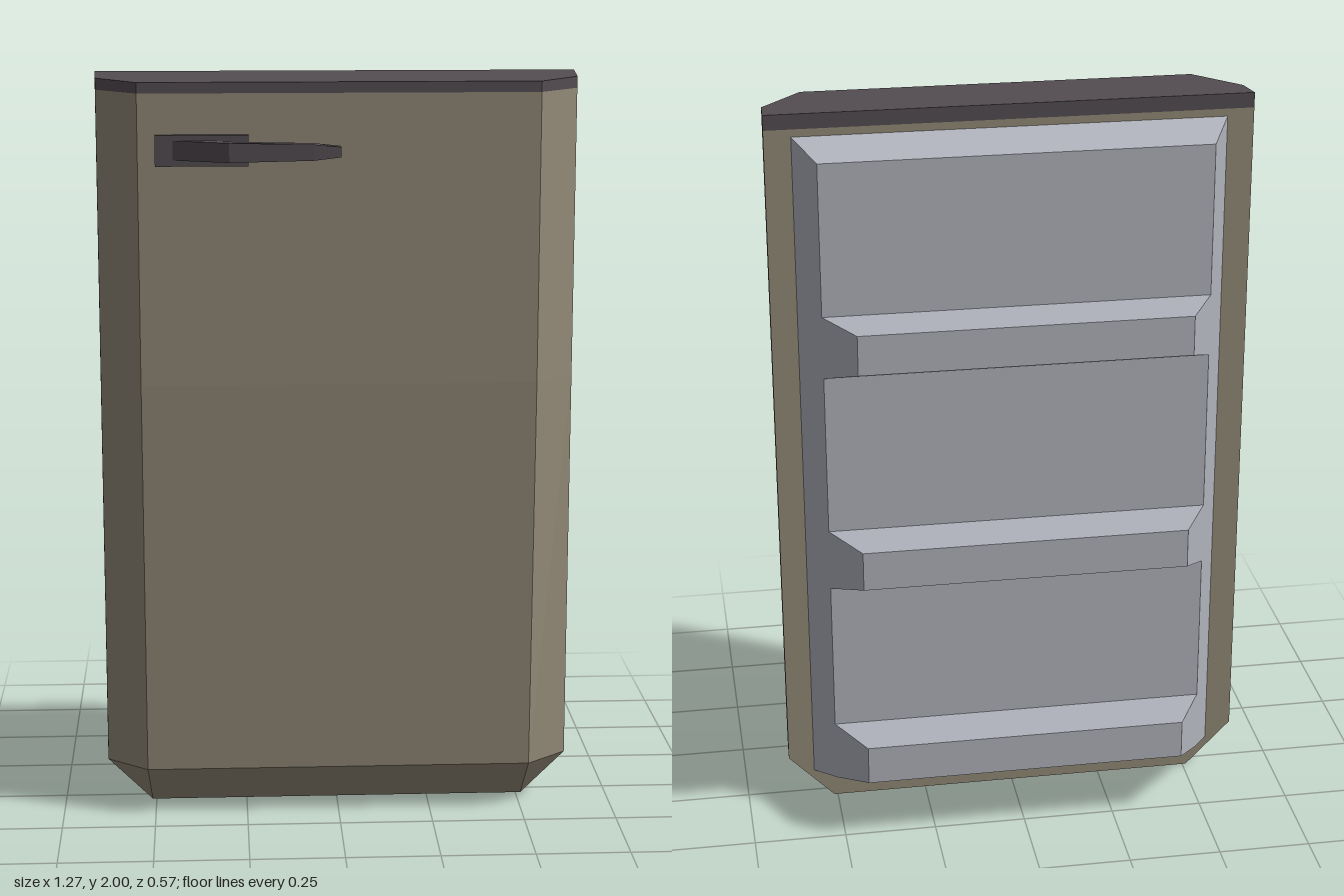
import * as THREE from 'three';

const mat = (name, color) => {
  const m = new THREE.MeshStandardMaterial({ color, flatShading: true });
  m.name = name;
  return m;
};

// Cross-section with chamfered front corners, running left back > front > right back.
// Each of back, mid and front is [half width, y, z].
const section = (back, mid, front) => {
  const left = [back, mid, front].map(([x, y, z]) => new THREE.Vector3(-x, y, z));
  const right = [front, mid, back].map(([x, y, z]) => new THREE.Vector3(x, y, z));
  return [...left, ...right];
};

// Closed solid through a stack of sections, listed from bottom to top.
function loft(rings) {
  const out = [];
  const tri = (a, b, c) => {
    if (new THREE.Triangle(a, b, c).getArea() > 1e-7) out.push(a, b, c);
  };
  const quad = (a, b, c, d) => { tri(a, b, c); tri(a, c, d); };
  for (let r = 0; r < rings.length - 1; r++) {
    const lo = rings[r], hi = rings[r + 1];
    for (let i = 0; i < 6; i++) {
      const j = (i + 1) % 6;
      quad(lo[i], lo[j], hi[j], hi[i]);
    }
  }
  const t = rings[rings.length - 1], b = rings[0];
  for (const i of [0, 1]) {
    quad(t[i], t[i + 1], t[4 - i], t[5 - i]);
    quad(b[5 - i], b[4 - i], b[i + 1], b[i]);
  }
  const g = new THREE.BufferGeometry().setFromPoints(out);
  g.computeVertexNormals();
  return g;
}

// Applies a rule to every vertex.
function warp(g, rule) {
  const p = g.attributes.position, v = new THREE.Vector3();
  for (let i = 0; i < p.count; i++) {
    rule(v.fromBufferAttribute(p, i));
    p.setXYZ(i, v.x, v.y, v.z);
  }
  g.computeVertexNormals();
  return g;
}

const polygon = (pts) => new THREE.Shape(pts.map(([x, y]) => new THREE.Vector2(x, y)));

export function createModel() {
  const model = new THREE.Group();
  model.name = 'fridgeDoor';
  const enamel = mat('taupe enamel', 0x938a78);
  const trim = mat('dark trim', 0x544d52);
  const plastic = mat('pale grey plastic', 0xb0b3bc);
  const add = (name, geometry, material) => {
    const mesh = new THREE.Mesh(geometry, material);
    mesh.name = name;
    model.add(mesh);
    return mesh;
  };

  // Outer door: bevelled foot, front leaning in below the middle
  const level = (y, front) => section([0.635, y, -0.035], [0.63, y, 0.07], [0.52, y, front]);
  add('doorPanel', loft([
    section([0.51, 0, -0.035], [0.51, 0.012, 0.07], [0.51, 0.012, 0.07]),
    level(0.13, 0.163),
    level(1.2, 0.2),
    level(1.96, 0.2),
  ]), enamel);

  // Dark cap along the top edge
  add('topCap', loft([
    level(1.96, 0.2),
    section([0.635, 2, -0.035], [0.63, 1.99, 0.07], [0.52, 1.988, 0.2]),
  ]), trim);

  // Inner liner with three shelves; profile is (depth behind the door, y)
  const profile = [[0.035, 0.085], [0.035, 1.94], [0.14, 1.9]];
  for (const y of [1.49, 0.88, 0.29]) {
    profile.push([0.14, y], [0.285, y], [0.285, y - 0.108], [0.14, y - 0.17]);
  }
  const liner = new THREE.ExtrudeGeometry(polygon(profile), { depth: 2, bevelEnabled: false });
  liner.translate(0, 0, -1).rotateY(Math.PI / 2);
  // The sides draw in towards the back
  warp(liner, (v) => { v.x *= 0.565 + (v.z + 0.035) * 0.52; });
  add('shelfLiner', liner, plastic);

  // Handle: mounting plate and cranked grip with a tapered end
  const plate = add('handlePlate', new THREE.BoxGeometry(0.24, 0.08, 0.018), trim);
  plate.position.set(-0.355, 1.815, 0.208);

  const gripOutline = [[-0.44, 0.212], [-0.285, 0.284], [-0.07, 0.284], [0, 0.277],
    [0, 0.245], [-0.07, 0.245], [-0.285, 0.245], [-0.325, 0.212]];
  const grip = new THREE.ExtrudeGeometry(
    polygon(gripOutline.map(([x, z]) => [x, -z])), { depth: 0.05, bevelEnabled: false });
  grip.translate(0, 0, -0.025).rotateX(-Math.PI / 2);
  warp(grip, (v) => {
    v.y = 1.816 + v.y * (v.x > -0.01 ? 0.52 : v.x > -0.1 ? 0.82 : 1);
  });
  add('handleGrip', grip, trim);

  return model;
}
